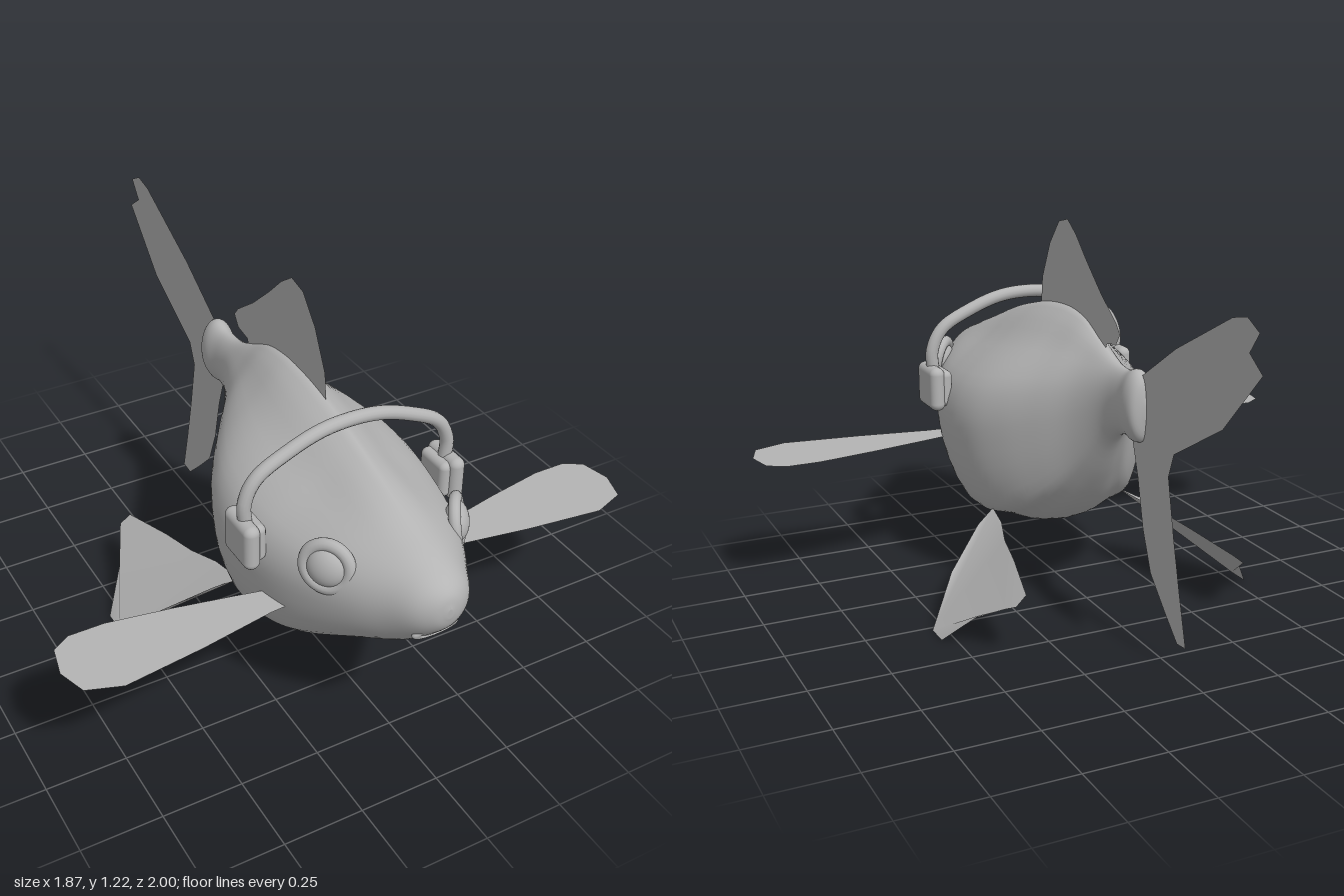
import * as THREE from 'three';
import { RoundedBoxGeometry } from 'three/addons/geometries/RoundedBoxGeometry.js';

const grey = new THREE.MeshStandardMaterial({ color: 0xb4b4b4, side: THREE.DoubleSide });
grey.name = 'plain grey';

function add(parent, name, geometry, position = [0, 0, 0]) {
  const mesh = new THREE.Mesh(geometry, grey);
  mesh.name = name;
  mesh.position.set(...position);
  parent.add(mesh);
  return mesh;
}

// Body stations from nose to tail: z, top, bottom, half width
const STATIONS = [
  [0.997, 0.64, 0.61, 0.01], [0.985, 0.68, 0.57, 0.05], [0.95, 0.712, 0.525, 0.095],
  [0.88, 0.745, 0.455, 0.14], [0.8, 0.775, 0.4, 0.19], [0.7, 0.815, 0.34, 0.24],
  [0.6, 0.852, 0.285, 0.278], [0.5, 0.885, 0.24, 0.303], [0.4, 0.912, 0.21, 0.318],
  [0.3, 0.935, 0.2, 0.32], [0.2, 0.948, 0.215, 0.3], [0.1, 0.95, 0.26, 0.25],
  [0, 0.932, 0.335, 0.18], [-0.1, 0.885, 0.455, 0.105], [-0.2, 0.845, 0.6, 0.056],
  [-0.28, 0.837, 0.638, 0.045], [-0.34, 0.852, 0.632, 0.052], [-0.38, 0.825, 0.65, 0.042],
  [-0.395, 0.76, 0.72, 0.005],
];

// Half cross-section of the belly, top to bottom: share of width, share of height
const BELLY = [
  [0, 1], [0.19, 0.945], [0.42, 0.85], [0.69, 0.757], [0.9, 0.66], [1, 0.54], [1, 0.405],
  [0.94, 0.243], [0.79, 0.1], [0.54, 0.06], [0.28, 0.015], [0, 0],
];

function curve(points) {
  return new THREE.CatmullRomCurve3(points.map((p) => new THREE.Vector3(...p)), false, 'catmullrom', 0.5);
}

function bodyGeometry() {
  const heights = curve(STATIONS.map(([z, t, b]) => [z, t, b]));
  const widths = curve(STATIONS.map(([z, , , w]) => [z, w, 0]));
  const belly = curve(BELLY.map(([x, y]) => [x, y, 0]));
  const rings = 90, half = 28, sides = half * 2;
  const positions = [], indices = [];
  for (let i = 0; i <= rings; i++) {
    const { x: z, y: top, z: bottom } = heights.getPoint(i / rings);
    const width = widths.getPoint(i / rings).y;
    // round at the snout and tail stem, ridged in the middle
    const blend = THREE.MathUtils.smoothstep(-z, -0.95, -0.5) * THREE.MathUtils.smoothstep(z, -0.3, 0.1);
    for (let j = 0; j < sides; j++) {
      const s = j <= half ? j / half : (sides - j) / half;
      const b = belly.getPoint(s);
      const x = THREE.MathUtils.lerp(Math.sin(s * Math.PI), b.x, blend);
      const y = THREE.MathUtils.lerp(0.5 + 0.5 * Math.cos(s * Math.PI), b.y, blend);
      positions.push((j <= half ? 1 : -1) * x * width, bottom + y * (top - bottom), z);
      if (i < rings) {
        const a = i * sides + j, n = i * sides + ((j + 1) % sides);
        indices.push(a, n, a + sides, n, n + sides, a + sides);
      }
    }
  }
  // end caps
  for (let j = 1; j < sides - 1; j++) {
    const e = rings * sides;
    indices.push(0, j + 1, j, e, e + j, e + j + 1);
  }
  const geometry = new THREE.BufferGeometry();
  geometry.setAttribute('position', new THREE.Float32BufferAttribute(positions, 3));
  geometry.setIndex(indices);
  geometry.computeVertexNormals();
  return geometry;
}

// Thin fin: fill an outline, then place each point by a rule
function finGeometry(outline, place) {
  const geometry = new THREE.ShapeGeometry(new THREE.Shape(outline.map((p) => new THREE.Vector2(...p))));
  const p = geometry.attributes.position;
  for (let i = 0; i < p.count; i++) p.setXYZ(i, ...place(p.getX(i), p.getY(i)));
  geometry.computeVertexNormals();
  return geometry;
}

// Outlines as z, y
const DORSAL = [
  [0.34, 0.9], [0.338, 0.94], [0.33, 1.01], [0.27, 1.13], [0.2, 1.21], [0.135, 1.225], [0.075, 1.185],
  [0, 1.115], [-0.1, 1.03], [-0.2, 0.96], [-0.225, 0.93], [-0.2, 0.895], [-0.14, 0.885],
  [-0.12, 0.84], [0, 0.88], [0.2, 0.9],
];
const TAIL = [
  [-0.36, 0.835], [-0.56, 0.96], [-0.85, 1.105], [-0.92, 1.12], [-0.98, 1.09], [-0.935, 1.03], [-1, 0.985],
  [-0.815, 0.795], [-0.56, 0.655], [-0.53, 0.58], [-0.565, 0.41], [-0.605, 0.245], [-0.645, 0.095],
  [-0.595, 0.09], [-0.52, 0.16], [-0.43, 0.25], [-0.38, 0.375], [-0.345, 0.525], [-0.3, 0.66],
];
// Outlines as x, z
const PECTORAL = [
  [0.25, 0.59], [0.32, 0.595], [0.55, 0.635], [0.8, 0.667], [0.905, 0.63], [0.935, 0.54], [0.915, 0.445],
  [0.86, 0.41], [0.75, 0.41], [0.56, 0.443], [0.375, 0.482], [0.25, 0.51],
];
const PELVIC = [
  [0.23, 0.23], [0.25, 0.11], [0.285, 0], [0.31, -0.13], [0.355, -0.325], [0.39, -0.33], [0.41, -0.29],
  [0.455, -0.2], [0.54, -0.1], [0.54, -0.02], [0.43, 0.095], [0.3, 0.19],
];

export function createModel() {
  const fish = new THREE.Group();
  fish.name = 'fish';
  add(fish, 'body', bodyGeometry());

  // Fins on the centre line
  add(fish, 'dorsalFin', finGeometry(DORSAL, (z, y) => [0, y, z]));
  add(fish, 'tailFin', finGeometry(TAIL, (z, y) => [0, y, z]));

  // Mouth: a flat oval lip with a filled centre
  const mouth = new THREE.Group();
  mouth.name = 'mouth';
  mouth.position.set(0, 0.528, 0.935);
  mouth.rotation.x = 0.35;
  mouth.scale.set(1, 0.36, 0.6);
  add(mouth, 'lips', new THREE.TorusGeometry(0.058, 0.017, 12, 32));
  add(mouth, 'mouthInside', new THREE.SphereGeometry(0.055, 24, 12)).scale.z = 0.3;
  fish.add(mouth);

  for (const side of [1, -1]) {
    const label = side > 0 ? 'left' : 'right';

    // Paired fins
    add(fish, label + 'PectoralFin', finGeometry(PECTORAL, (x, z) => [side * x, 0.457, z]));
    add(fish, label + 'PelvicFin', finGeometry(PELVIC, (x, z) => {
      const u = x - 0.25;
      return [side * x, 0.27 - 0.45 * u - 1.6 * u * u, z];
    }));

    // Eye in a raised lid
    const eye = new THREE.Group();
    eye.name = label + 'Eye';
    eye.position.set(side * 0.213, 0.668, 0.715);
    eye.lookAt(side * 0.983, 0.828, 1.315);
    add(eye, 'eyelid', new THREE.TorusGeometry(0.066, 0.02, 12, 36)).scale.z = 0.9;
    add(eye, 'eyeball', new THREE.SphereGeometry(0.06, 28, 18)).scale.z = 0.6;
    fish.add(eye);

    // Headphone cup and its inner pad
    add(fish, label + 'EarCup', new RoundedBoxGeometry(0.05, 0.145, 0.15, 5, 0.024), [side * 0.343, 0.648, 0.47]);
    add(fish, label + 'EarPad', new RoundedBoxGeometry(0.045, 0.12, 0.125, 4, 0.02), [side * 0.314, 0.648, 0.465]);
  }

  // Headphone band over the back
  const rightHalf = [[-0.335, 0.69], [-0.336, 0.77], [-0.295, 0.842], [-0.2, 0.893], [-0.1, 0.928]];
  const arc = [...rightHalf, [0, 0.938], ...rightHalf.map(([x, y]) => [-x, y]).reverse()];
  add(fish, 'headband', new THREE.TubeGeometry(curve(arc.map(([x, y]) => [x, y, 0.472])), 72, 0.021, 14));

  return fish;
}
